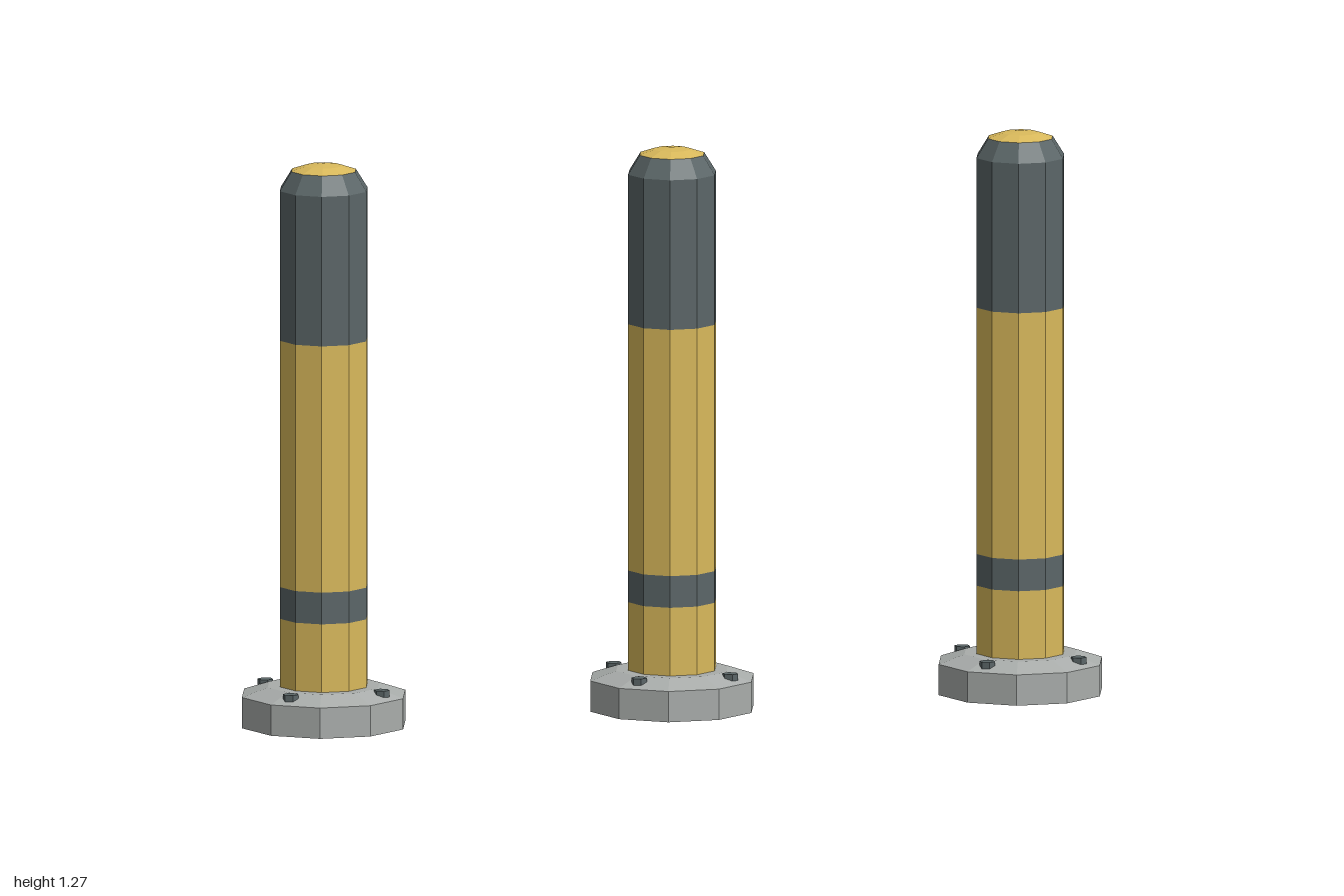
import * as THREE from 'three';

const SIDES = 10;
const yellow = new THREE.MeshStandardMaterial({ color: 0xd9b95b });
yellow.name = 'safety yellow';
const dark = new THREE.MeshStandardMaterial({ color: 0x5b6668 });
dark.name = 'slate grey';
const metal = new THREE.MeshStandardMaterial({ color: 0xa9adab });
metal.name = 'light metal';

// Unshared corners give each facet its own flat normal
function faceted(geometry) {
  const flat = geometry.toNonIndexed();
  flat.computeVertexNormals();
  return flat;
}

// Ten-sided turned part from a [radius, height] profile, with a corner on +x
function turned(profile) {
  const points = profile.map(([r, y]) => new THREE.Vector2(r, y));
  return faceted(new THREE.LatheGeometry(points, SIDES, Math.PI / 2));
}

const R = 0.102;
const parts = [
  ['basePlate', metal, turned([[0, 0], [0.19, 0], [0.19, 0.07], [0.13, 0.09], [0, 0.09]])],
  ['lowerPost', yellow, turned([[R, 0.09], [R, 0.245]])],
  ['lowerBand', dark, turned([[R, 0.245], [R, 0.317]])],
  ['middlePost', yellow, turned([[R, 0.317], [R, 0.877]])],
  ['upperSleeve', dark, turned([[R, 0.877], [R, 1.217], [0.075, 1.26]])],
  ['topCap', yellow, turned([[0.075, 1.26], [0.042, 1.271], [0, 1.275]])],
];
const boltGeometry = faceted(new THREE.CylinderGeometry(0.018, 0.018, 0.022, 6));

function createBollard() {
  const bollard = new THREE.Group();
  const add = (name, material, geometry) => {
    const mesh = new THREE.Mesh(geometry, material);
    mesh.name = name;
    bollard.add(mesh);
    return mesh;
  };
  for (const [name, material, geometry] of parts) add(name, material, geometry);

  // Four anchor bolts on the diagonals of the base
  for (const x of [-0.106, 0.106]) {
    for (const z of [-0.106, 0.106]) add('anchorBolt', dark, boltGeometry).position.set(x, 0.08, z);
  }
  return bollard;
}

export function createModel() {
  const model = new THREE.Group();
  model.name = 'bollardRow';
  ['rightBollard', 'middleBollard', 'leftBollard'].forEach((name, i) => {
    const bollard = createBollard();
    bollard.name = name;
    bollard.position.x = (i - 1) * 0.81;
    model.add(bollard);
  });
  return model;
}
